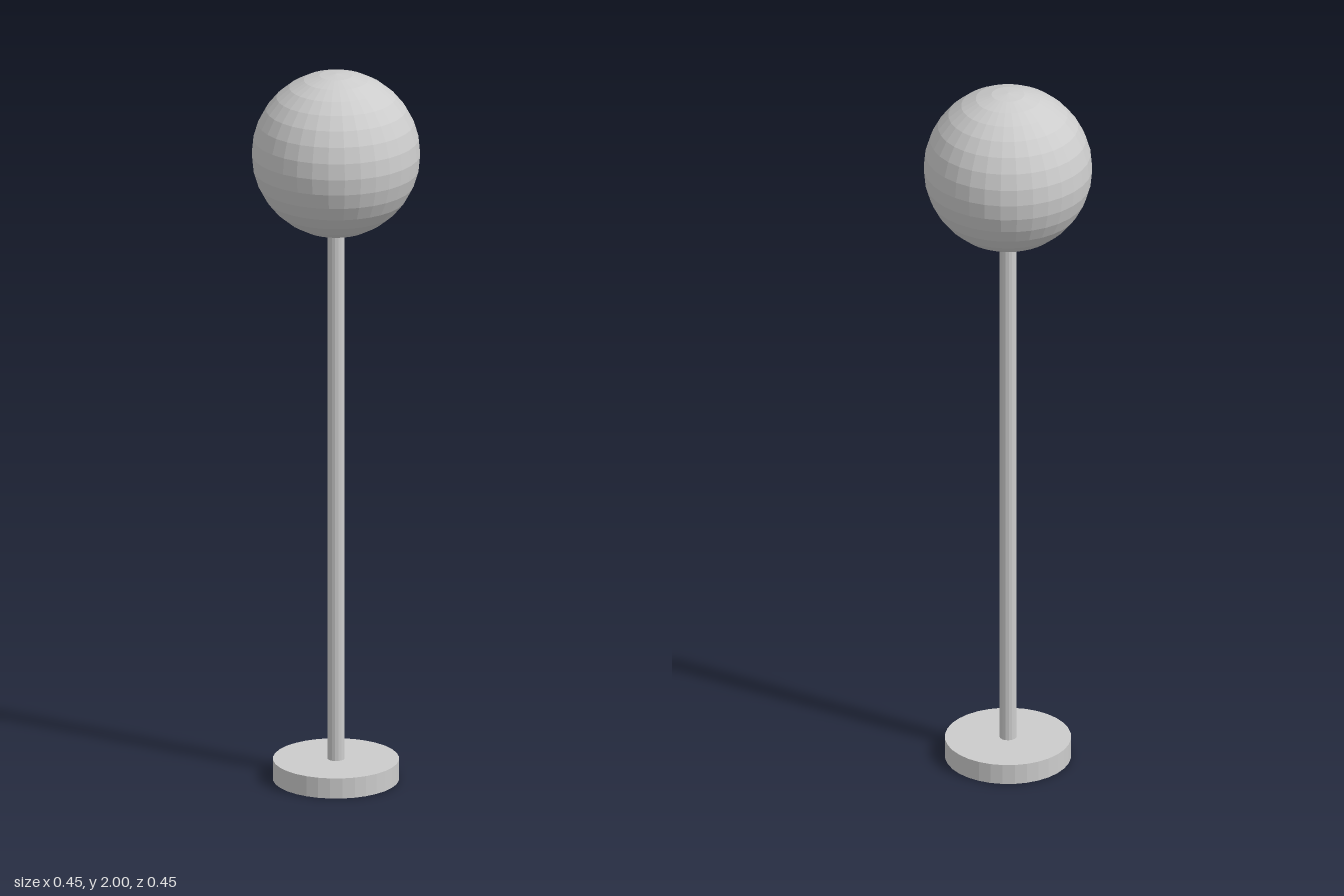
import * as THREE from 'three';

export function createModel() {
  const group = new THREE.Group();
  const lightGrey = new THREE.MeshStandardMaterial({ color: 0xcccccc, flatShading: true });
  lightGrey.name = 'lightGrey';

  const add = (name, geometry, y) => {
    const mesh = new THREE.Mesh(geometry, lightGrey);
    mesh.name = name;
    mesh.position.y = y;
    group.add(mesh);
  };

  const baseHeight = 0.057, globeRadius = 0.227;
  const globeY = 2 - globeRadius;
  const poleTop = globeY - globeRadius + 0.01; // slightly sunk into the globe

  // Round foot
  add('base', new THREE.CylinderGeometry(0.17, 0.17, baseHeight, 32), baseHeight / 2);
  // Slim upright between foot and globe
  add('pole', new THREE.CylinderGeometry(0.023, 0.023, poleTop - baseHeight, 16), (poleTop + baseHeight) / 2);
  // Faceted globe
  add('globe', new THREE.SphereGeometry(globeRadius, 32, 16), globeY);

  return group;
}
